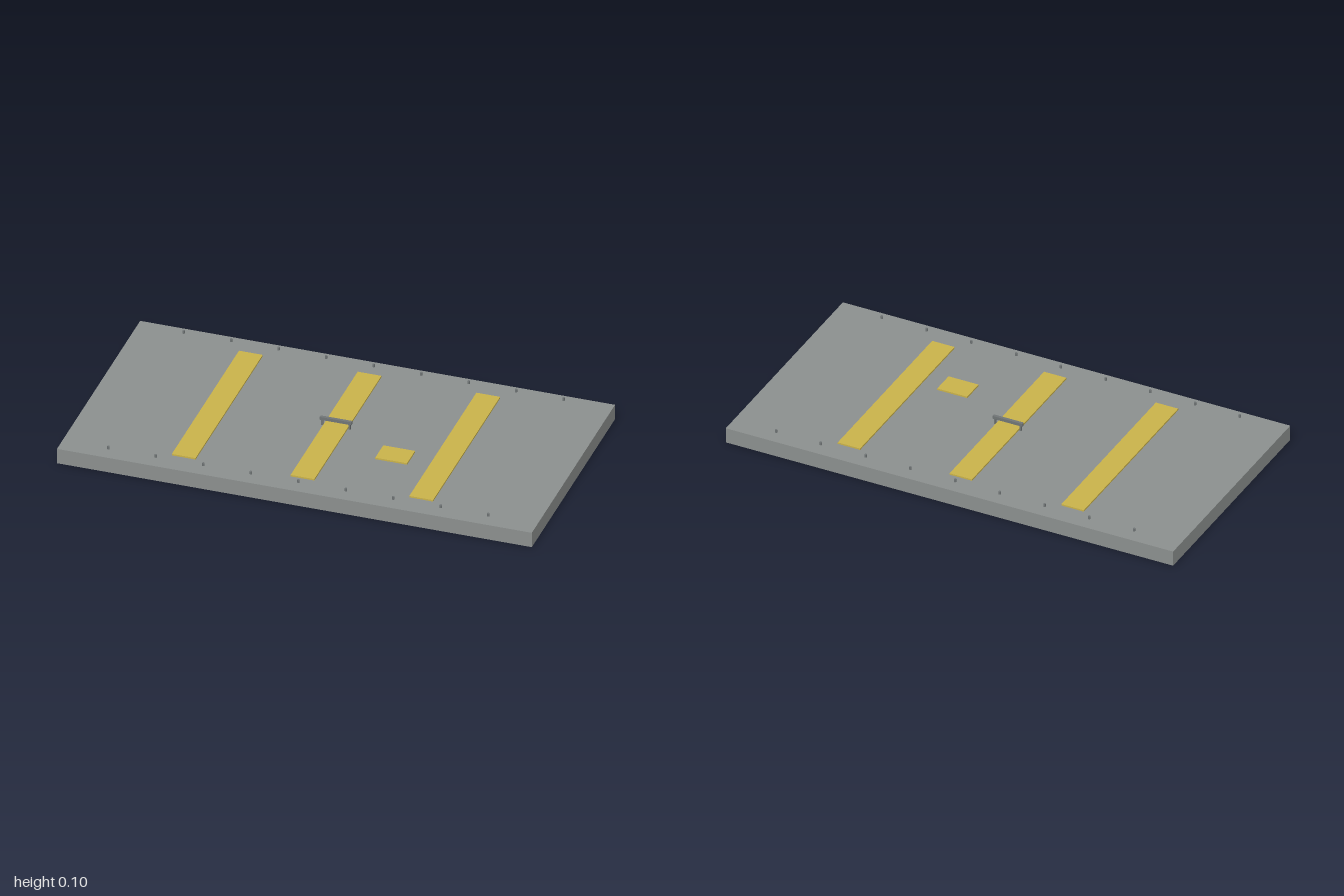
import * as THREE from 'three';

const paint = (name, color) => {
  const m = new THREE.MeshStandardMaterial({ color });
  m.name = name;
  return m;
};

export function createModel() {
  const model = new THREE.Group();
  model.name = 'deckPlate';
  const grey = paint('steel grey', 0x8b8f8e);
  const yellow = paint('marking yellow', 0xc9b24a);
  const dark = paint('fitting grey', 0x707576);

  const add = (name, geometry, material, x, y, z, parent = model) => {
    const mesh = new THREE.Mesh(geometry, material);
    mesh.name = name;
    mesh.position.set(x, y, z);
    parent.add(mesh);
    return mesh;
  };

  // Main slab
  add('slab', new THREE.BoxGeometry(2, 0.067, 1.034), grey, 0, 0.0335, 0);

  // Three raised stripes across the slab
  const stripe = new THREE.BoxGeometry(0.1, 0.007, 0.834);
  for (const x of [-0.5, 0, 0.5]) add('stripe', stripe, yellow, x, 0.0703, 0);

  // Small plate hovering just above the slab
  add('label plate', new THREE.BoxGeometry(0.134, 0.007, 0.1), yellow, 0.3, 0.081, 0.15);

  // Handle: a bar on two posts
  const handle = new THREE.Group();
  handle.name = 'handle';
  model.add(handle);
  add('handleBar', new THREE.BoxGeometry(0.134, 0.013, 0.013), dark, 0, 0.0975, 0, handle);
  const post = new THREE.BoxGeometry(0.008, 0.025, 0.008);
  for (const s of [-1, 1]) add('handlePost', post, dark, s * 0.057, 0.0795, 0, handle);

  // Rivets along both long edges
  const rivet = new THREE.CylinderGeometry(0.005, 0.005, 0.013, 12);
  for (let i = -4; i <= 4; i++) {
    for (const z of [-0.467, 0.467]) add('rivet', rivet, dark, i * 0.2, 0.084, z);
  }
  return model;
}
